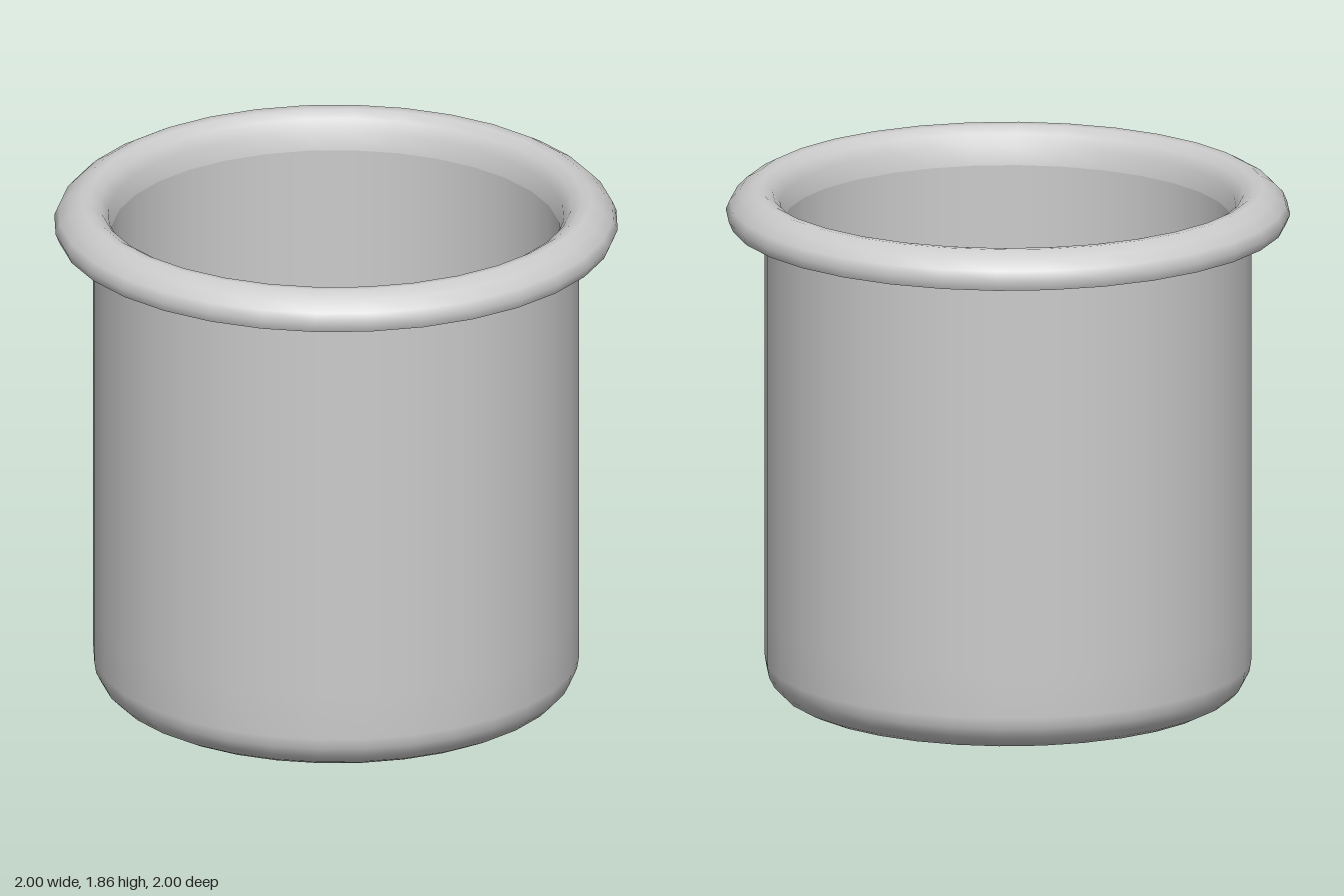
import * as THREE from 'three';

const SIDES = 32;

// Points on a circular arc in the profile plane, angles in degrees
function arc(cx, cy, rx, ry, from, to, steps) {
  return Array.from({ length: steps + 1 }, (_, i) => {
    const a = THREE.MathUtils.degToRad(from + ((to - from) * i) / steps);
    return [cx + rx * Math.cos(a), cy + ry * Math.sin(a)];
  });
}

export function createModel() {
  const group = new THREE.Group();
  group.name = 'cup';
  const material = new THREE.MeshStandardMaterial({ color: 0xcccccc });

  // Each part is its own lathe, so edges between parts stay sharp
  const addLathe = (name, profile) => {
    const points = profile.map(([x, y]) => new THREE.Vector2(x, y));
    const mesh = new THREE.Mesh(new THREE.LatheGeometry(points, SIDES), material);
    mesh.name = name;
    group.add(mesh);
  };

  // Flat base, rounded lower edge and straight outer wall
  addLathe('outerWall', [
    [0, 0], [0.7, 0],
    ...arc(0.73, 0.135, 0.132, 0.132, -90, 0, 5),
    [0.862, 0.3], [0.862, 1.73],
  ]);

  // Flat underside of the rim
  addLathe('rimUnderside', [[0.862, 1.73], [0.985, 1.73]]);

  // Rolled rim, over the top and down into the cup
  addLathe('rim', [
    [0.985, 1.73], [1, 1.765], [0.985, 1.8], [0.95, 1.835], [0.905, 1.86],
    [0.872, 1.857], [0.835, 1.835], [0.808, 1.795], [0.795, 1.73],
  ]);

  // Inner wall, small fillet and floor
  addLathe('innerWall', [
    [0.795, 1.73], [0.795, 0.2],
    ...arc(0.715, 0.15, 0.08, 0.08, 0, -90, 4),
    [0.65, 0.07], [0, 0.07],
  ]);

  return group;
}
